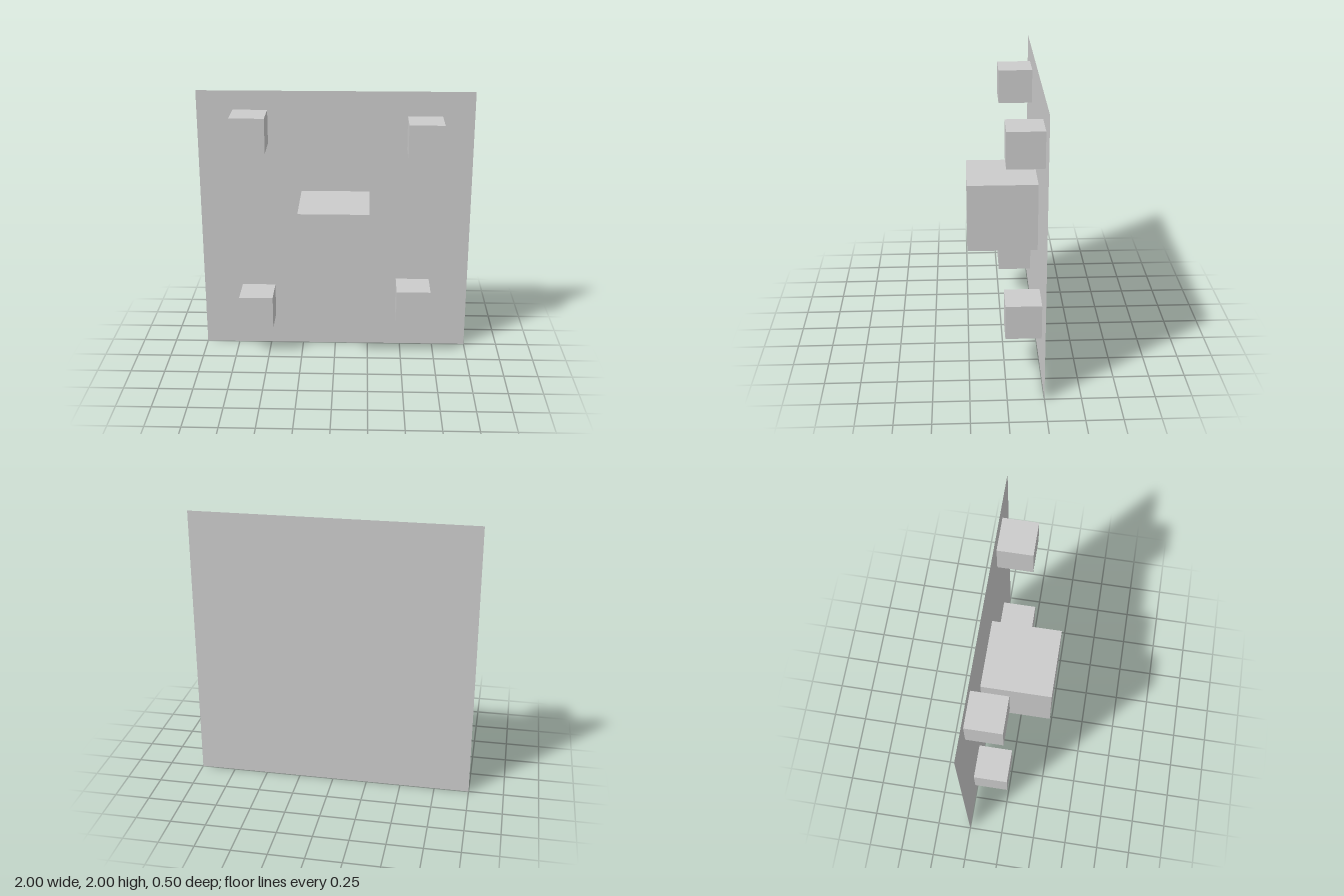
import * as THREE from 'three';

const WALL_Z = -0.25;

export function createModel() {
  const model = new THREE.Group();
  const material = new THREE.MeshStandardMaterial({ color: 0xcccccc, flatShading: true });
  const thinMaterial = material.clone();
  thinMaterial.side = THREE.DoubleSide;

  // Thin square backing panel
  const panel = new THREE.Mesh(new THREE.PlaneGeometry(2, 2), thinMaterial);
  panel.name = 'backPanel';
  panel.position.set(0, 1, WALL_Z);
  model.add(panel);

  // Cubes whose backs rest against the panel
  const addCube = (name, size, x, y) => {
    const cube = new THREE.Mesh(new THREE.BoxGeometry(size, size, size), material);
    cube.name = name;
    cube.position.set(x, y, WALL_Z + size / 2);
    model.add(cube);
  };

  addCube('centreCube', 0.5, 0, 1);

  // Four small cubes, one near each corner
  const corners = [
    ['upperRightCube', -0.615, 1.735],
    ['upperLeftCube', 0.645, 1.695],
    ['lowerRightCube', -0.585, 0.365],
    ['lowerLeftCube', 0.585, 0.425],
  ];
  for (const [name, x, y] of corners) addCube(name, 0.25, x, y);

  return model;
}
